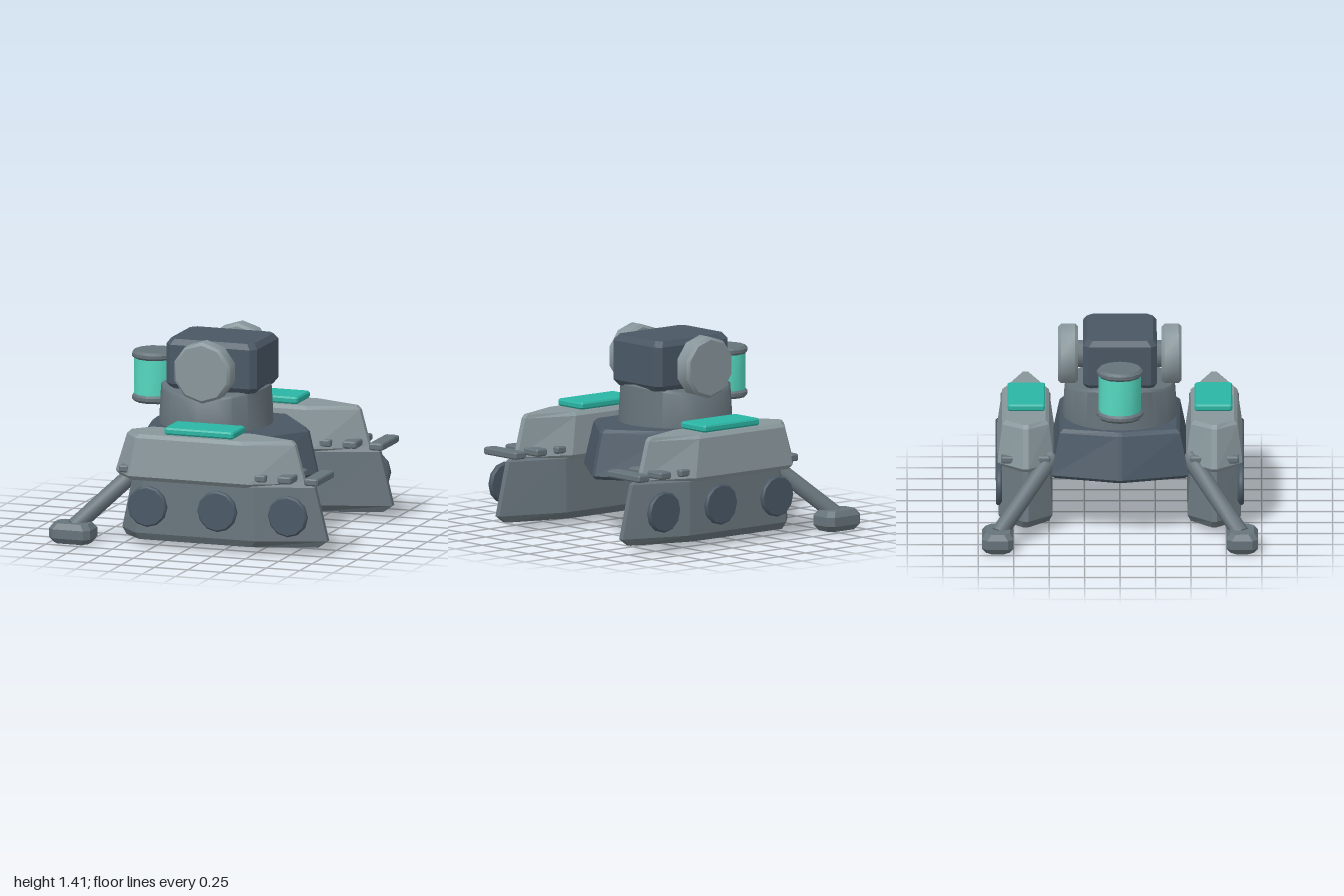
import * as THREE from 'three';
import { toCreasedNormals } from 'three/addons/utils/BufferGeometryUtils.js';

const mat = (color, flatShading = true) => new THREE.MeshStandardMaterial({ color, flatShading });
const DARK = mat(0x4a5865), MID = mat(0x66737a), LIGHT = mat(0x88969b), TEAL = mat(0x2bb5a4);
const GLASS = mat(0x55d8c0, false), SMOOTH_MID = mat(0x66737a, false);
const SMOOTH_LIGHT = mat(0x88969b, false), SMOOTH_DARK = mat(0x4a5865, false);

// Skin convex outlines stacked in y; rings are [y, [[x, z], ...]], running +x, -z, -x, +z
function loft(rings) {
  const n = rings[0][1].length, pos = [];
  const put = (i, j) => { const [x, z] = rings[i][1][j % n]; pos.push(x, rings[i][0], z); };
  for (let i = 0; i < rings.length - 1; i++) {
    for (let j = 0; j < n; j++) {
      put(i, j); put(i, j + 1); put(i + 1, j + 1);
      put(i, j); put(i + 1, j + 1); put(i + 1, j);
    }
  }
  const top = rings.length - 1;
  for (let j = 1; j < n - 1; j++) {
    put(0, 0); put(0, j + 1); put(0, j);
    put(top, 0); put(top, j); put(top, j + 1);
  }
  const g = new THREE.BufferGeometry();
  g.setAttribute('position', new THREE.Float32BufferAttribute(pos, 3));
  g.computeVertexNormals();
  return g;
}

// Box with every edge cut off by c
function chamferBox(w, h, d, c) {
  const rect = (x, z) => [[x, z - c], [x - c, z], [c - x, z], [-x, z - c],
    [-x, c - z], [c - x, -z], [x - c, -z], [x, c - z]].map(([a, b]) => [a, -b]).reverse()
    .map(([a, b]) => [a, -b]);
  const full = rect(w / 2, d / 2);
  const inset = rect(w / 2 - c * 0.7, d / 2 - c * 0.7);
  return loft([[-h / 2, inset], [c - h / 2, full], [h / 2 - c, full], [h / 2, inset]].map(
    ([y, o]) => [y, o.slice().reverse().map(([a, b]) => [a, -b]).reverse().map(([a, b]) => [a, -b])]));
}

// Hull outline: blunt nose at +x, straight sides, pointed or blunt tail
const keel = (nose, noseW, front, back, tail, tailW, half) => [
  [nose, noseW], [nose, -noseW], [front, -half], [back, -half],
  [tail, -tailW], [tail, tailW], [back, half], [front, half]];

// Disc or drum with bevelled rims, axis on y
function drum(r, h, sides, bevel, rTop = r) {
  const pts = [[0, -h / 2], [r - bevel, -h / 2], [r, bevel - h / 2], [rTop, h / 2 - bevel],
    [rTop - bevel, h / 2], [0, h / 2]].map(([x, y]) => new THREE.Vector2(x, y));
  return new THREE.LatheGeometry(pts, sides);
}
const creased = (g) => toCreasedNormals(g, 0.68);

function add(parent, name, geometry, material, x = 0, y = 0, z = 0) {
  const m = new THREE.Mesh(geometry, material);
  m.name = name;
  m.position.set(x, y, z);
  parent.add(m);
  return m;
}

// One side: track pod, wheels, fins, panel and outrigger; s is the sign of z
function buildSide(s) {
  const g = new THREE.Group();
  g.name = s > 0 ? 'frontPod' : 'rearPod';
  const zc = 0.665 * s;

  add(g, 'lowerPod', loft([
    [0.05, keel(0.93, 0.02, 0.48, -0.36, -0.51, 0.02, 0.165)],
    [0.1, keel(1.0, 0.02, 0.52, -0.38, -0.54, 0.02, 0.19)],
    [0.48, keel(0.905, 0.02, 0.5, -0.33, -0.46, 0.02, 0.165)],
    [0.52, keel(0.83, 0.02, 0.45, -0.31, -0.43, 0.02, 0.14)]]), MID, 0, 0, zc);

  add(g, 'upperPod', loft([
    [0.475, keel(0.78, 0.02, 0.43, -0.41, -0.56, 0.02, 0.175)],
    [0.505, keel(0.83, 0.02, 0.47, -0.43, -0.59, 0.02, 0.2)],
    [0.775, keel(0.755, 0.02, 0.41, -0.39, -0.505, 0.02, 0.165)],
    [0.8, keel(0.73, 0.02, 0.39, -0.37, -0.48, 0.02, 0.14)]]), LIGHT, 0, 0, zc);

  add(g, 'solarPanel', chamferBox(0.52, 0.05, 0.265, 0.012), TEAL, 0.07, 0.83, zc - 0.005 * s);

  // Cross fins
  for (const [x, w] of [[-0.475, 0.075], [0.545, 0.09], [0.73, 0.105], [0.93, 0.105]])
    add(g, 'fin', chamferBox(w, 0.05, 0.35, 0.01), MID, x, 0.547, zc);

  // Wheel discs on the outer face
  for (const x of [-0.29, 0.235, 0.765]) {
    const wheel = add(g, 'wheel', creased(drum(0.147, 0.045, 12, 0.012)), SMOOTH_DARK, x, 0.295, 0.853 * s);
    wheel.rotation.x = Math.PI / 2;
  }

  // Outrigger strut and foot
  const a = new THREE.Vector3(-0.84, 0.11, 0.855 * s), b = new THREE.Vector3(-0.42, 0.55, 0.48 * s);
  const dir = b.clone().sub(a);
  const strut = add(g, 'strut', creased(new THREE.CylinderGeometry(0.06, 0.06, dir.length(), 10)), SMOOTH_MID);
  strut.position.copy(a).add(b).multiplyScalar(0.5);
  strut.quaternion.setFromUnitVectors(new THREE.Vector3(0, 1, 0), dir.normalize());
  add(g, 'foot', chamferBox(0.31, 0.145, 0.225, 0.04), MID, -0.845, 0.0725, 0.862 * s);
  return g;
}

export function createModel() {
  const model = new THREE.Group();
  model.name = 'outpostRover';

  // Central hull between the pods
  add(model, 'hull', loft([
    [0.41, keel(0.65, 0.015, 0.33, -0.49, -0.61, 0.015, 0.46)],
    [0.435, keel(0.68, 0.015, 0.35, -0.51, -0.635, 0.015, 0.485)],
    [0.735, keel(0.61, 0.015, 0.31, -0.47, -0.56, 0.015, 0.425)],
    [0.76, keel(0.58, 0.015, 0.29, -0.45, -0.53, 0.015, 0.4)]]), DARK);

  // Turret ring, its rim dipping toward the side discs
  const ring = drum(0.405, 0.31, 20, 0.015, 0.39);
  const p = ring.attributes.position;
  for (let i = 0; i < p.count; i++)
    if (p.getY(i) > 0) p.setY(i, p.getY(i) - 0.4 * p.getZ(i) ** 2);
  add(model, 'turretRing', creased(ring), SMOOTH_MID, -0.085, 0.895, 0);

  // Head with a round disc on each side
  add(model, 'head', chamferBox(0.68, 0.36, 0.52, 0.04), DARK, -0.04, 1.2, 0);
  for (const s of [1, -1]) {
    const disc = add(model, 'sideDisc', creased(drum(0.22, 0.14, 10, 0.02)), SMOOTH_LIGHT, -0.04, 1.187, 0.365 * s);
    disc.rotation.x = Math.PI / 2;
    const axle = add(model, 'discAxle', new THREE.CylinderGeometry(0.1, 0.1, 0.1, 10), SMOOTH_MID, -0.04, 1.187, 0.27 * s);
    axle.rotation.x = Math.PI / 2;
  }

  // Glowing canister at the tail
  const lamp = new THREE.Group();
  lamp.name = 'canister';
  lamp.position.x = -0.545;
  add(lamp, 'glass', creased(new THREE.CylinderGeometry(0.15, 0.15, 0.28, 12)), GLASS, 0, 1.065, 0);
  for (const y of [0.905, 1.213])
    add(lamp, 'cap', creased(drum(0.165, 0.058, 12, 0.018)), SMOOTH_MID, 0, y, 0);
  model.add(lamp);

  for (const s of [1, -1]) model.add(buildSide(s));
  return model;
}
